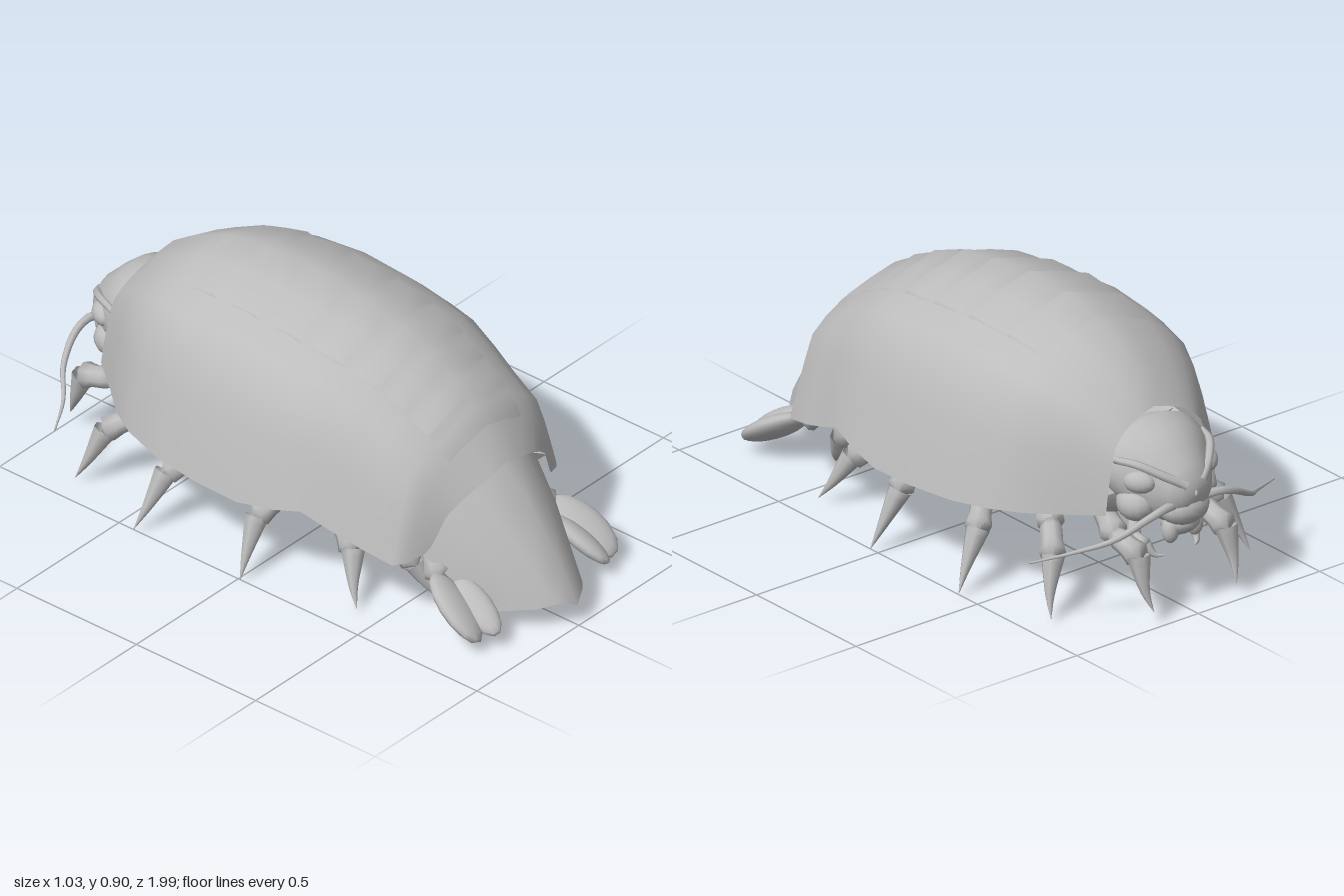
import * as THREE from 'three';

const grey = new THREE.MeshStandardMaterial({ color: 0xbcbcbc, side: THREE.DoubleSide });
grey.name = 'shell grey';

const V = (p) => new THREE.Vector3(...p);

function add(parent, geometry, name) {
  const mesh = new THREE.Mesh(geometry, grey);
  mesh.name = name;
  parent.add(mesh);
  return mesh;
}

// Skin a list of equal-length point rows; closed joins each row into a ring
function loft(rows, closed = false) {
  const n = rows[0].length, index = [];
  for (let i = 0; i < rows.length - 1; i++) {
    for (let j = 0; j < (closed ? n : n - 1); j++) {
      const a = i * n + j, b = i * n + (j + 1) % n;
      index.push(a, a + n, b, b, a + n, b + n);
    }
  }
  const g = new THREE.BufferGeometry();
  g.setAttribute('position', new THREE.Float32BufferAttribute(rows.flat(2), 3));
  g.setIndex(index);
  g.computeVertexNormals();
  return g;
}

// Tapered round strand through points
function strand(points, r0, r1, steps = 10, sides = 7) {
  const curve = new THREE.CatmullRomCurve3(points.map(V));
  const { normals, binormals } = curve.computeFrenetFrames(steps);
  const rows = [];
  for (let i = 0; i <= steps; i++) {
    const c = curve.getPointAt(i / steps), r = r0 + (r1 - r0) * i / steps, row = [];
    for (let j = 0; j < sides; j++) {
      const a = -j / sides * Math.PI * 2;
      row.push(c.clone().addScaledVector(normals[i], r * Math.cos(a))
        .addScaledVector(binormals[i], r * Math.sin(a)).toArray());
    }
    rows.push(row);
  }
  return loft(rows, true);
}

// Leg segment: swollen near its far joint
function segment(a, b, r0, r1) {
  const from = V(a), dir = V(b).sub(from), len = dir.length();
  const profile = [[0, 0], [r0 * 0.75, 0], [r0, len * 0.2], [r1 * 0.9, len * 0.6], [r1 * 1.1, len * 0.92], [0, len * 1.1]];
  const g = new THREE.LatheGeometry(profile.map((p) => new THREE.Vector2(...p)), 8);
  g.applyQuaternion(new THREE.Quaternion().setFromUnitVectors(new THREE.Vector3(0, 1, 0), dir.normalize()));
  return g.translate(...a);
}

function ellipsoid(parent, name, pos, scale, rot = [0, 0, 0]) {
  const m = add(parent, new THREE.SphereGeometry(1, 14, 10), name);
  m.position.set(...pos);
  m.scale.set(...scale);
  m.rotation.set(...rot);
}

// Shell stations: z at ridge, half width, ridge height, rim height, z shift of the rim, arch power
const stations = [
  [-0.78, 0.225, 0.66, 0.35, -0.03, 0.8], [-0.7, 0.31, 0.75, 0.34, 0, 0.9], [-0.6, 0.395, 0.815, 0.335, 0, 1],
  [-0.5, 0.45, 0.86, 0.33, 0, 1], [-0.36, 0.49, 0.885, 0.32, 0, 1], [-0.18, 0.514, 0.896, 0.315, 0, 1],
  [0, 0.514, 0.88, 0.31, 0, 1], [0.14, 0.495, 0.855, 0.33, 0, 1], [0.24, 0.475, 0.83, 0.355, 0, 1],
  [0.35, 0.447, 0.79, 0.31, 0, 1], [0.45, 0.422, 0.735, 0.275, 0, 1], [0.55, 0.402, 0.67, 0.25, 0.01, 1],
  [0.62, 0.372, 0.6, 0.255, -0.03, 1.2], [0.7, 0.31, 0.505, 0.275, -0.08, 1.5],
];
const arch = [[0, 1], [0.24, 0.94], [0.47, 0.865], [0.64, 0.77], [0.78, 0.65], [0.87, 0.42], [0.94, 0.2], [1, 0]];

function stationAt(z) {
  let i = 0;
  while (i < stations.length - 2 && stations[i + 1][0] < z) i++;
  const a = stations[i], b = stations[i + 1], t = (z - a[0]) / (b[0] - a[0]);
  return a.map((v, k) => v + (b[k] - v) * t);
}

// Full left-to-right row from a half profile
const mirrorRow = (half) => [...half.slice(1).reverse().map(([x, y, z]) => [-x, y, z]), ...half];
const shellHalf = ([z, w, top, rim, shift, power]) =>
  arch.map(([u, v]) => [u * w, rim + v ** power * (top - rim), z + shift * u * u]);

function buildShell(root) {
  add(root, loft(stations.map((s) => mirrorRow(shellHalf(s)))), 'backShell');
  // Overlapping back plates, each swelling towards its rear edge and easing onto the next
  const edges = [-0.5, -0.33, -0.15, 0.03, 0.19, 0.33, 0.43, 0.53, 0.6];
  const rows = [];
  for (let i = 0; i < edges.length - 1; i++) {
    const size = i < 4 ? 0.014 : 0.009;
    for (const [t, lift] of [[0.12, 0.002], [0.5, size * 0.55], [0.98, size]]) {
      const half = shellHalf(stationAt(edges[i] + (edges[i + 1] - edges[i]) * t)).slice(0, 3);
      const row = half.map(([x, y, z]) => [x, y + lift, z]);
      row.push([half[2][0] + 0.005, half[2][1] - 0.012, half[2][2]]);
      rows.push(mirrorRow(row));
    }
  }
  // Close the last plate down onto the shell
  rows.push(mirrorRow([...shellHalf(stationAt(0.63)).slice(0, 3), shellHalf(stationAt(0.63))[2]]
    .map(([x, y, z]) => [x, y - 0.008, z])));
  add(root, loft(rows), 'backPlates');
}

function buildBelly(root) {
  // Slanted belly plates, listed back to front so they face down
  const count = 9, z0 = -0.8, step = 0.152;
  for (let i = 0; i < count; i++) {
    const rows = [[1, 0.01], [1, -0.03], [0, 0.01]].map(([t, y]) => {
      const [z, w, , rim] = stationAt(z0 + step * (i + t));
      return mirrorRow([[0, 0.31 + y, z], [w * 0.4, 0.315 + y, z], [w * 0.7, 0.335 + y, z], [w * 0.89, rim + 0.05, z]]);
    });
    add(root, loft(rows.slice(1)), 'bellyPlate' + (i + 1));
    add(root, loft(rows.slice(0, 2)), 'bellyPlateEdge' + (i + 1));
  }
}

function buildTail(root) {
  // Drooping tail fan, arched across and pointed at the end
  const upper = [[0, 0.56, 0.62], [0.14, 0.51, 0.61], [0.23, 0.41, 0.59], [0.285, 0.33, 0.58], [0.305, 0.27, 0.58]];
  const middle = [[0, 0.39, 0.79], [0.11, 0.355, 0.765], [0.19, 0.29, 0.73], [0.24, 0.23, 0.7], [0.265, 0.19, 0.68]];
  const lower = [[0, 0.2, 0.93], [0.08, 0.19, 0.9], [0.15, 0.16, 0.84], [0.19, 0.13, 0.79], [0.215, 0.11, 0.77]];
  const rim = [[0, 0.085, 0.995], [0.06, 0.105, 0.965], [0.11, 0.09, 0.92], [0.16, 0.085, 0.86], [0.2, 0.075, 0.8]];
  add(root, loft([upper, middle, lower, rim].map(mirrorRow)), 'tailFan');
  for (const s of [-1, 1]) {
    ellipsoid(root, 'outerTailPaddle', [s * 0.31, 0.125, 0.75], [0.074, 0.034, 0.14], [0.55, s * 0.2, s * 0.3]);
    ellipsoid(root, 'innerTailPaddle', [s * 0.255, 0.12, 0.79], [0.052, 0.03, 0.12], [0.5, s * 0.15, s * -0.5]);
    add(root, segment([s * 0.2, 0.26, 0.55], [s * 0.275, 0.18, 0.65], 0.035, 0.045), 'tailPaddleBase');
  }
}

function buildHead(root) {
  // Rounded hood: z, half width, top, bottom
  const rings = [[-0.72, 0.19, 0.61, 0.36], [-0.785, 0.197, 0.635, 0.33], [-0.85, 0.172, 0.62, 0.31],
    [-0.91, 0.13, 0.57, 0.305], [-0.96, 0.09, 0.52, 0.34], [-0.985, 0.06, 0.475, 0.38], [-0.99, 0.005, 0.44, 0.42]];
  const rows = rings.map(([z, w, top, bottom]) => Array.from({ length: 18 }, (_, j) => {
    const a = j / 18 * Math.PI * 2;
    return [w * Math.cos(a), (top + bottom) / 2 + (top - bottom) / 2 * Math.sin(a), z];
  }));
  add(root, loft(rows, true), 'head');
  ellipsoid(root, 'snout', [0, 0.365, -0.93], [0.09, 0.06, 0.068]);
  ellipsoid(root, 'mouth', [0, 0.31, -0.91], [0.07, 0.045, 0.06]);
  for (const s of [-1, 1]) {
    ellipsoid(root, 'eye', [s * 0.14, 0.468, -0.875], [0.034, 0.038, 0.055], [0, s * 0.55, 0]);
    add(root, strand([[s * 0.03, 0.46, -0.98], [s * 0.09, 0.495, -0.94], [s * 0.15, 0.53, -0.875], [s * 0.18, 0.53, -0.8]],
      0.017, 0.012), 'browRidge');
    ellipsoid(root, 'cheek', [s * 0.125, 0.38, -0.84], [0.062, 0.06, 0.07]);
    ellipsoid(root, 'jaw', [s * 0.05, 0.29, -0.92], [0.028, 0.045, 0.03]);
    add(root, strand([[s * 0.05, 0.39, -0.95], [s * 0.11, 0.395, -0.965], [s * 0.18, 0.375, -0.96], [s * 0.28, 0.32, -0.92],
      [s * 0.38, 0.275, -0.835], [s * 0.505, 0.25, -0.765]], 0.016, 0.003, 18), 'longAntenna');
  }
}

function buildLegs(root) {
  // Hip, two joints and claw tip of each leg, front to back
  const legs = [
    [[0.07, 0.3, -0.76], [0.11, 0.25, -0.81], [0.1, 0.23, -0.86], [0.06, 0.2, -0.91]],
    [[0.12, 0.3, -0.66], [0.18, 0.27, -0.8], [0.18, 0.235, -0.92], [0.17, 0.06, -0.985]],
    [[0.17, 0.28, -0.44], [0.28, 0.27, -0.6], [0.345, 0.205, -0.69], [0.41, 0.025, -0.76]],
    [[0.19, 0.28, -0.16], [0.31, 0.27, -0.3], [0.405, 0.205, -0.385], [0.515, 0.025, -0.425]],
    [[0.19, 0.29, 0.14], [0.31, 0.275, 0.05], [0.41, 0.205, 0], [0.515, 0.02, 0.02]],
    [[0.18, 0.29, 0.08], [0.27, 0.25, 0.22], [0.33, 0.18, 0.335], [0.405, 0.025, 0.415]],
    [[0.16, 0.29, 0.24], [0.23, 0.24, 0.37], [0.23, 0.155, 0.51], [0.165, 0.01, 0.62]],
  ];
  legs.forEach((leg, i) => {
    const size = i === 0 ? 0.55 : 1.08;
    for (const s of [-1, 1]) {
      const [hip, knee, ankle, tip] = leg.map(([x, y, z]) => [s * x, y, z]);
      const group = new THREE.Group();
      group.name = (s > 0 ? 'leftLeg' : 'rightLeg') + (i + 1);
      add(group, segment(hip, knee, 0.034 * size, 0.04 * size), 'upperLeg');
      add(group, segment(knee, ankle, 0.034 * size, 0.038 * size), 'lowerLeg');
      // Claw bows outward before dropping to its tip
      const bend = ankle.map((v, k) => v * 0.45 + tip[k] * 0.55);
      bend[0] += s * 0.008;
      bend[1] -= 0.012;
      add(group, strand([ankle, bend, tip], 0.037 * size, 0.001, 8), 'claw');
      root.add(group);
    }
  });
}

export function createModel() {
  const root = new THREE.Group();
  root.name = 'isopod';
  buildShell(root);
  buildBelly(root);
  buildTail(root);
  buildHead(root);
  buildLegs(root);
  return root;
}
